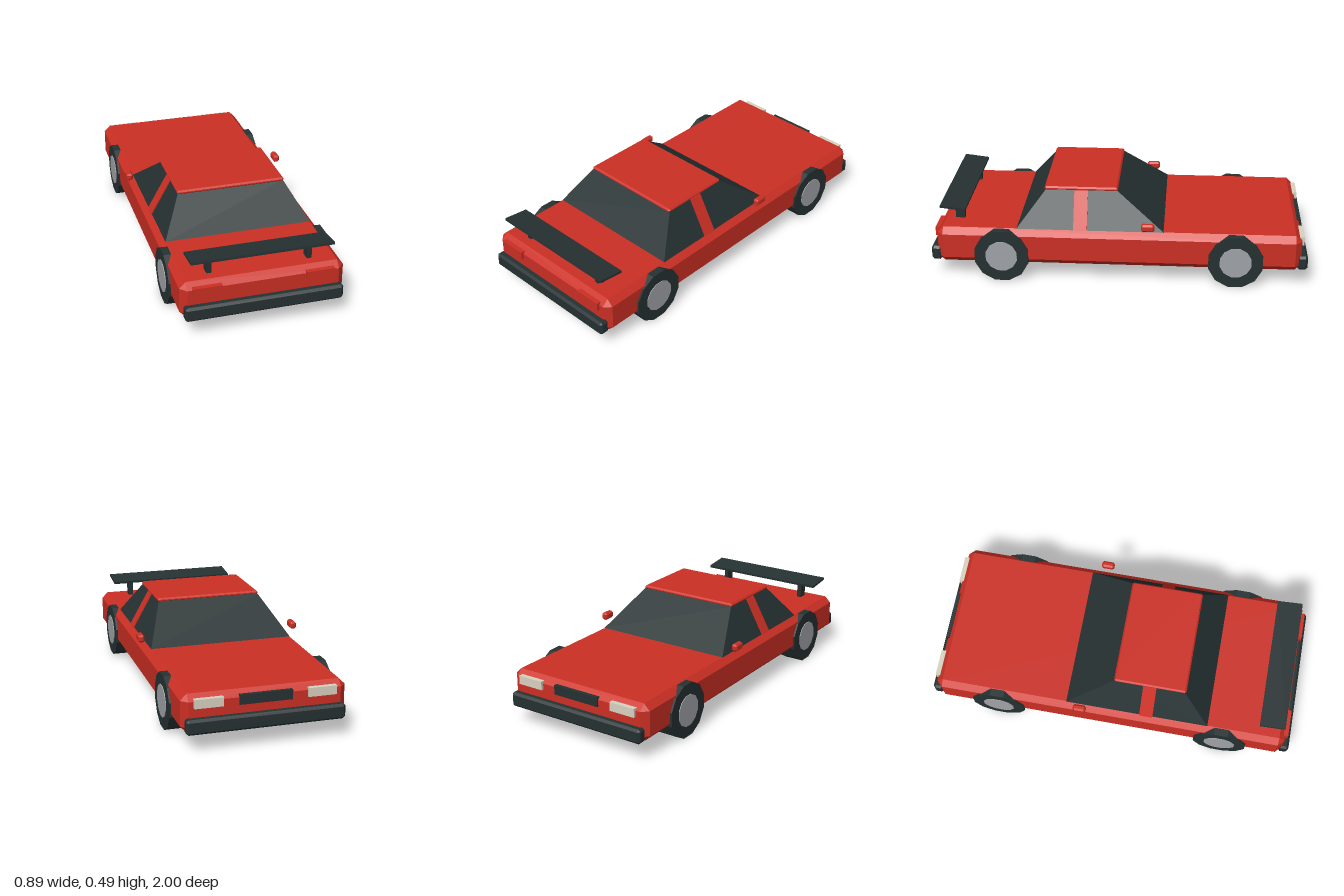
import * as THREE from 'three';
import { ConvexGeometry } from 'three/addons/geometries/ConvexGeometry.js';

const material = (name, color) => {
  const m = new THREE.MeshStandardMaterial({ color });
  m.name = name;
  m.flatShading = true;
  return m;
};

// Box with every edge cut off by b
function chamferBox(w, h, d, b) {
  const pts = [];
  for (const sx of [-1, 1]) for (const sy of [-1, 1]) for (const sz of [-1, 1]) {
    const x = w / 2, y = h / 2, z = d / 2;
    pts.push(
      new THREE.Vector3(sx * x, sy * (y - b), sz * (z - b)),
      new THREE.Vector3(sx * (x - b), sy * y, sz * (z - b)),
      new THREE.Vector3(sx * (x - b), sy * (y - b), sz * z));
  }
  return new ConvexGeometry(pts);
}

// Solid between two rectangles [halfWidth, y, zMin, zMax]
function frustum(...levels) {
  const pts = [];
  for (const [x, y, z0, z1] of levels)
    for (const s of [-1, 1]) for (const z of [z0, z1]) pts.push(new THREE.Vector3(s * x, y, z));
  return new ConvexGeometry(pts);
}

export function createModel() {
  const car = new THREE.Group();
  car.name = 'car';
  const red = material('red paint', 0xcc2f24);
  const dark = material('dark trim', 0x263132);
  const grey = material('hub grey', 0xa0a3a8);
  const cream = material('headlight cream', 0xd8d2c0);

  const add = (name, geometry, mat, x = 0, y = 0, z = 0) => {
    const mesh = new THREE.Mesh(geometry, mat);
    mesh.name = name;
    mesh.position.set(x, y, z);
    car.add(mesh);
    return mesh;
  };

  // Body, cabin and roof
  add('body', chamferBox(0.84, 0.198, 1.93, 0.033), red, 0, 0.19, 0);
  add('cabinGlass', frustum([0.39, 0.288, -0.24, 0.54], [0.285, 0.475, 0.01, 0.39]), dark);
  add('roof', chamferBox(0.576, 0.022, 0.39, 0.008), red, 0, 0.48, 0.203);
  add('doorPillars', frustum([0.397, 0.288, 0.166, 0.238], [0.291, 0.475, 0.166, 0.238]), red);

  // Bumpers and grille
  for (const s of [-1, 1])
    add(s > 0 ? 'rearBumper' : 'noseBumper', chamferBox(0.81, 0.078, 0.055, 0.012), dark, 0, 0.136, s * 0.9725);
  add('grille', new THREE.BoxGeometry(0.27, 0.05, 0.02), dark, 0, 0.245, -0.964);

  // Spoiler
  const wing = add('spoilerWing', new THREE.BoxGeometry(0.728, 0.013, 0.137), dark, 0, 0.385, 0.88);
  wing.rotation.x = -0.12;

  // Twelve-sided wheels, turned to stand on a flat
  const round = (r, w) => new THREE.CylinderGeometry(r, r, w, 12).rotateY(Math.PI / 12).rotateZ(Math.PI / 2);
  const tyre = round(0.148, 0.11);
  const hub = round(0.086, 0.012);

  for (const s of [-1, 1]) {
    const side = s > 0 ? 'left' : 'right';
    add(side + 'Headlight', new THREE.BoxGeometry(0.146, 0.046, 0.025), cream, s * 0.288, 0.247, -0.967);
    add(side + 'TailLight', new THREE.BoxGeometry(0.146, 0.046, 0.025), red, s * 0.288, 0.247, 0.967);
    add(side + 'SpoilerPost', new THREE.BoxGeometry(0.025, 0.1, 0.05), dark, s * 0.258, 0.332, 0.86);
    add(side + 'Mirror', chamferBox(0.034, 0.04, 0.07, 0.009), red, s * 0.429, 0.333, -0.157);
    for (const z of [-0.62, 0.62]) {
      const end = z > 0 ? 'Rear' : 'Nose';
      add(side + end + 'Tyre', tyre, dark, s * 0.375, 0.143, z);
      add(side + end + 'Hub', hub, grey, s * 0.428, 0.143, z);
    }
  }
  return car;
}
